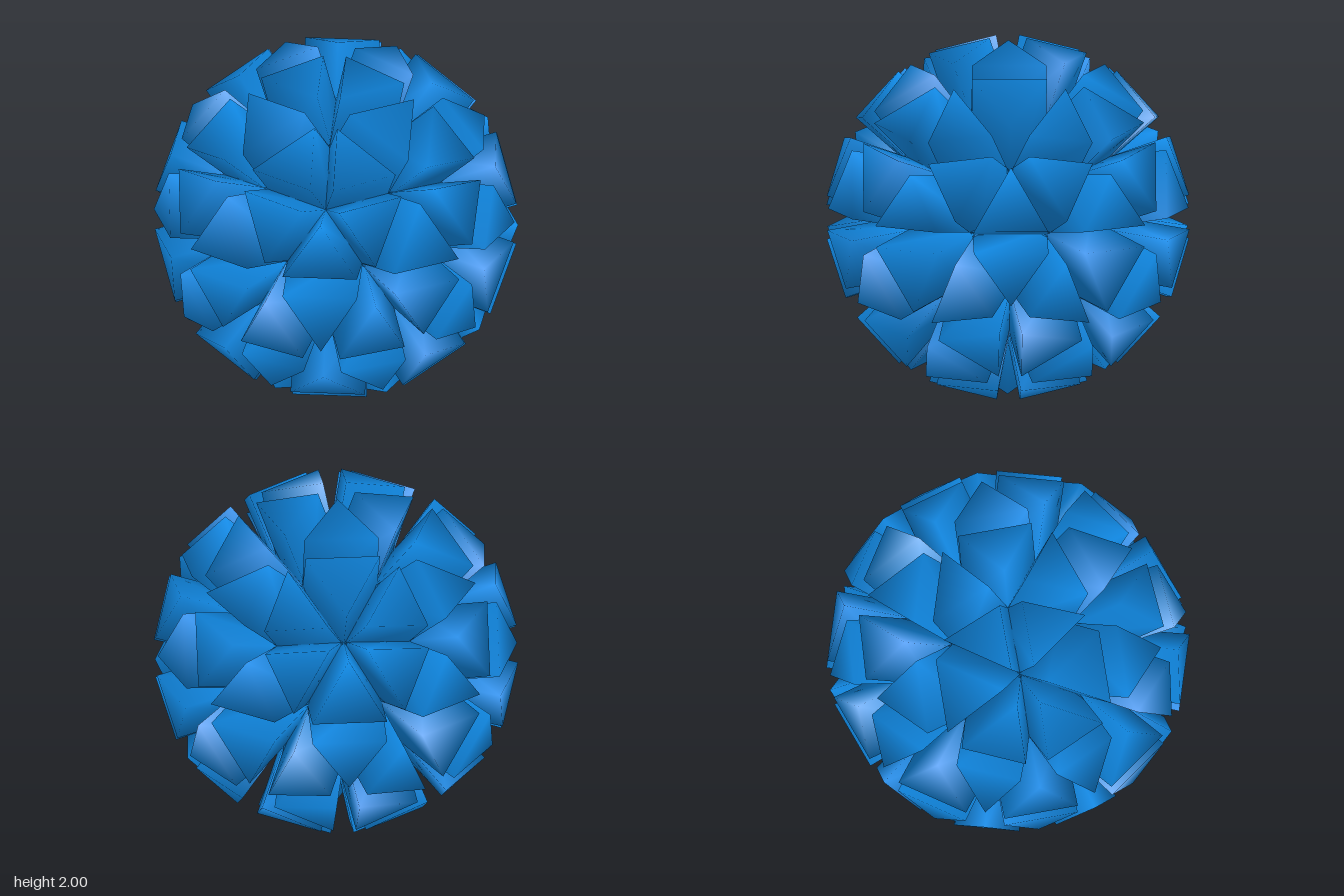
import * as THREE from 'three';

const SCALE = 0.665;  // size of each block relative to its cell
const LIFT = 0.036;   // how far the outer face stands above its cell
const DEPTH = 0.5;    // length of each block towards the core

// Triangular prism standing on the cell a, b, c; shared corners give soft shading
function blockGeometry(a, b, c) {
  const centre = new THREE.Vector3().add(a).add(b).add(c).divideScalar(3);
  const normal = new THREE.Triangle(a, b, c).getNormal(new THREE.Vector3());
  const points = [];
  for (const offset of [LIFT, LIFT - DEPTH]) {
    for (const p of [a, b, c]) {
      points.push(p.clone().sub(centre).multiplyScalar(SCALE).add(centre).addScaledVector(normal, offset));
    }
  }
  const index = [0, 1, 2, 5, 4, 3]; // outer and inner ends
  for (let i = 0; i < 3; i++) {
    const j = (i + 1) % 3;
    index.push(i, i + 3, j, j, i + 3, j + 3); // side walls
  }
  const geometry = new THREE.BufferGeometry().setFromPoints(points);
  geometry.setIndex(index);
  geometry.computeVertexNormals();
  return geometry;
}

export function createModel() {
  const model = new THREE.Group();
  model.name = 'facetedBall';
  const material = new THREE.MeshStandardMaterial({ color: 0x108ae6 });

  const flowers = new THREE.Group();
  flowers.name = 'flowerBlocks';
  const fillers = new THREE.Group();
  fillers.name = 'fillerBlocks';
  model.add(flowers, fillers);

  // Sphere of 80 triangular cells, turned so a five-block flower sits on top
  const cells = new THREE.IcosahedronGeometry(1, 1);
  cells.rotateZ(-Math.atan(2 / (1 + Math.sqrt(5))));
  const position = cells.attributes.position;

  for (let i = 0; i < position.count; i += 3) {
    const [a, b, c] = [0, 1, 2].map((k) => new THREE.Vector3().fromBufferAttribute(position, i + k));
    const sides = [a.distanceTo(b), b.distanceTo(c), c.distanceTo(a)];
    const equilateral = Math.max(...sides) - Math.min(...sides) < 0.01;
    const block = new THREE.Mesh(blockGeometry(a, b, c), material);
    block.name = equilateral ? 'fillerBlock' : 'flowerBlock';
    (equilateral ? fillers : flowers).add(block);
  }

  model.position.y = 1;
  return model;
}
